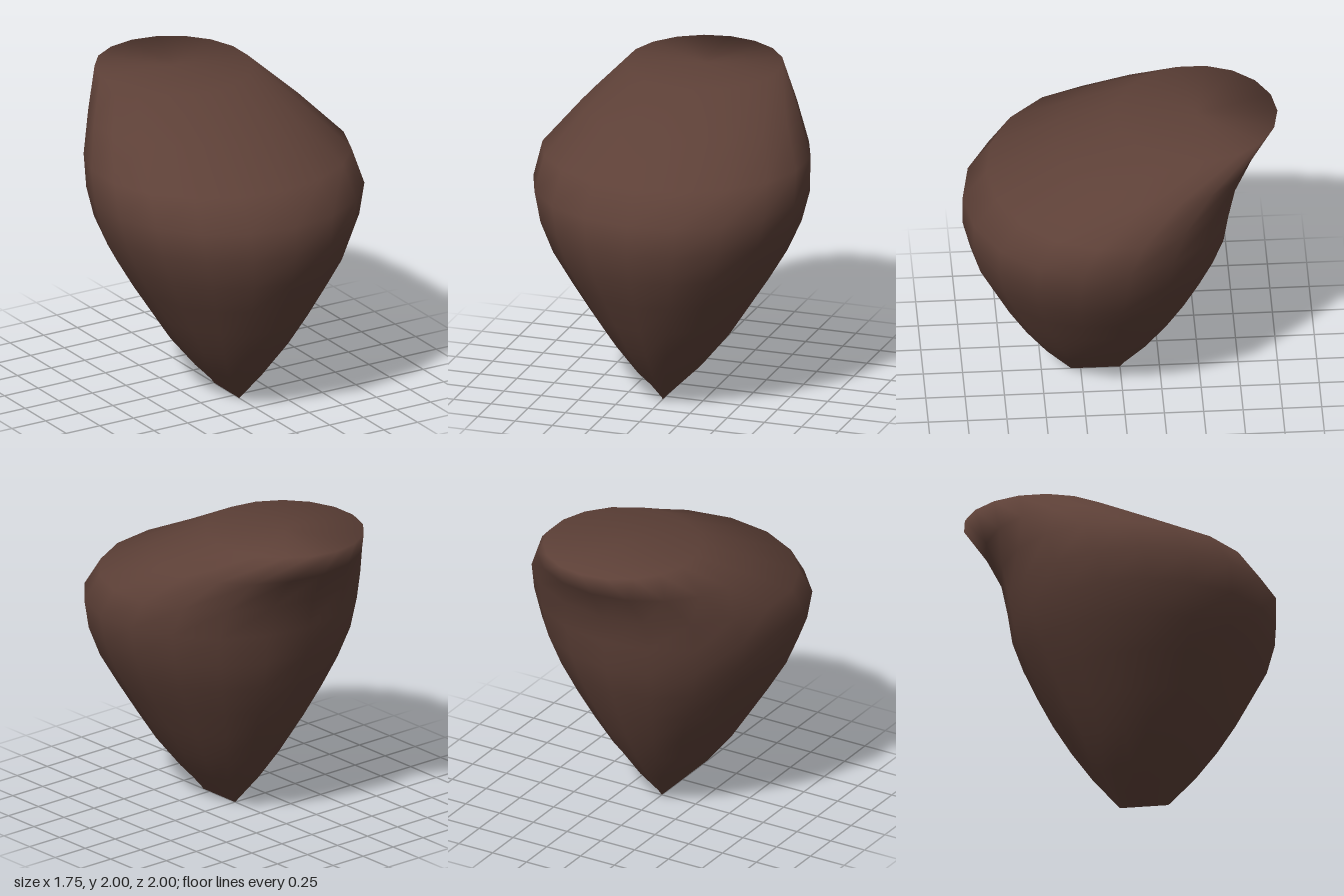
import * as THREE from 'three';

const SIDES = 18;

// Elliptical cross-sections, one every 0.2 in height: [half width, front z, back z]
const RINGS = [
  [0.00, 0.31, 0.00],
  [0.205, 0.49, -0.17],
  [0.37, 0.63, -0.31],
  [0.50, 0.75, -0.43],
  [0.63, 0.85, -0.53],
  [0.75, 0.95, -0.62],
  [0.84, 1.00, -0.69],
  [0.89, 1.00, -0.72],
  [0.865, 0.85, -0.76],
  [0.70, 0.43, -0.86],
  [0.50, 0.03, -1.00],
];

function loft(rings, step) {
  const positions = [];
  const index = [];
  rings.forEach(([halfWidth, front, back], r) => {
    const centre = (front + back) / 2;
    const halfDepth = (front - back) / 2;
    for (let i = 0; i < SIDES; i++) {
      const a = (i / SIDES) * Math.PI * 2;
      positions.push(halfWidth * Math.sin(a), r * step, centre + halfDepth * Math.cos(a));
    }
  });

  // Walls between neighbouring rings
  for (let r = 0; r < rings.length - 1; r++) {
    for (let i = 0; i < SIDES; i++) {
      const a = r * SIDES + i;
      const b = r * SIDES + ((i + 1) % SIDES);
      index.push(a, b, b + SIDES, a, b + SIDES, a + SIDES);
    }
  }

  // Flat top, sharing the rim vertices so the shading flows over the edge
  const top = (rings.length - 1) * SIDES;
  const [, front, back] = rings[rings.length - 1];
  const centre = positions.length / 3;
  positions.push(0, (rings.length - 1) * step, (front + back) / 2);
  for (let i = 0; i < SIDES; i++) {
    index.push(centre, top + i, top + ((i + 1) % SIDES));
  }

  const geometry = new THREE.BufferGeometry();
  geometry.setAttribute('position', new THREE.Float32BufferAttribute(positions, 3));
  geometry.setIndex(index);
  geometry.computeVertexNormals();
  return geometry;
}

export function createModel() {
  const group = new THREE.Group();

  // Single tapered body: keel edge below, flat lip swept to the back above
  const body = new THREE.Mesh(
    loft(RINGS, 0.2),
    new THREE.MeshStandardMaterial({ color: 0x5d4037, side: THREE.DoubleSide })
  );
  body.name = 'body';
  group.add(body);

  return group;
}
